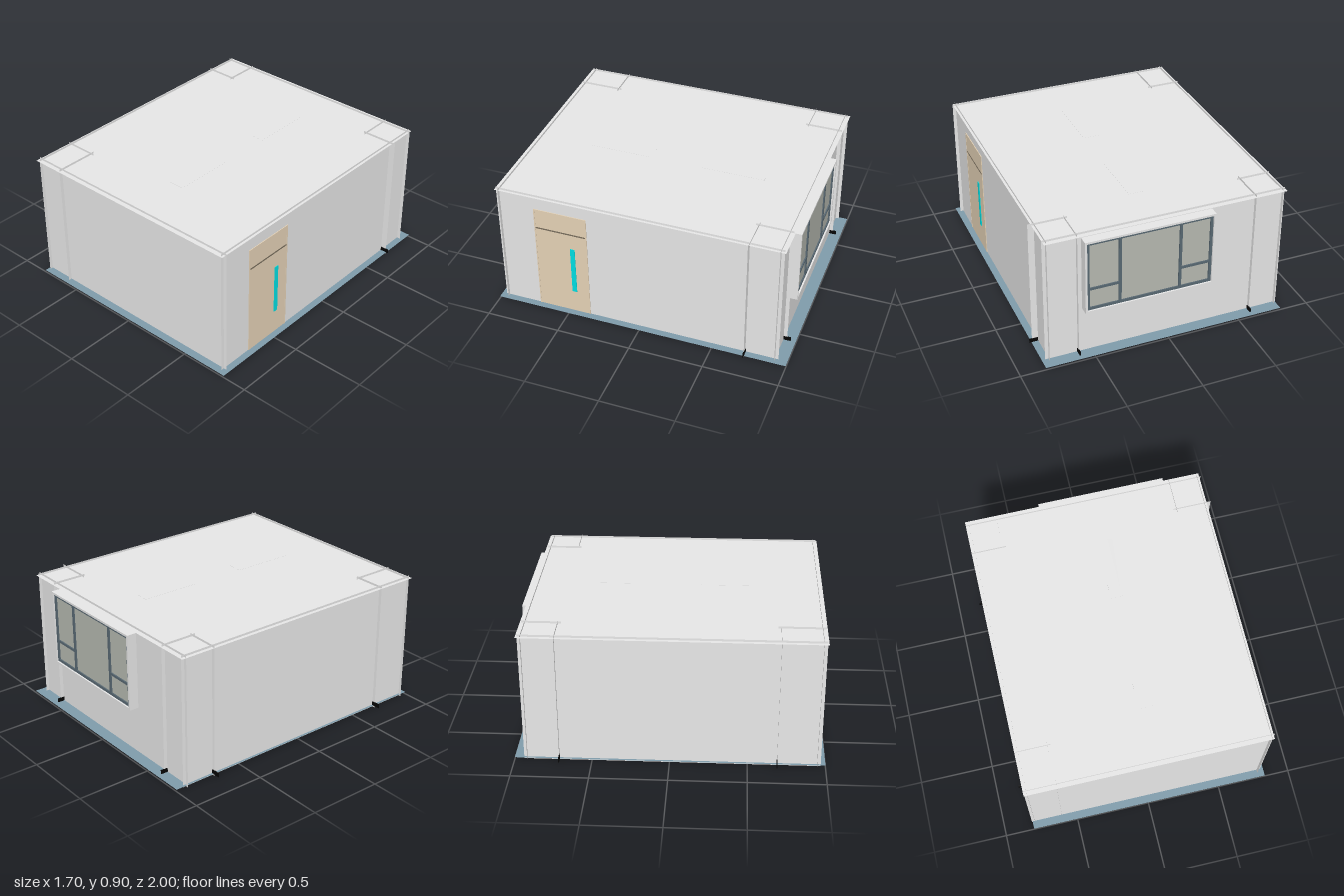
import * as THREE from 'three';

const mat = (name, color, side = THREE.FrontSide) => {
  const m = new THREE.MeshStandardMaterial({ color, side });
  m.name = name;
  return m;
};

export function createModel() {
  const M = {
    wall: mat('wall grey', 0xe7e7e7, THREE.DoubleSide),
    floor: mat('floor slate blue', 0x7f9cab, THREE.DoubleSide),
    ring: mat('floor inlay taupe', 0xb8b1aa, THREE.DoubleSide),
    door: mat('door tan', 0xe6d3b7),
    seam: mat('door seam brown', 0x7a6f5e),
    handle: mat('handle cyan', 0x00dfe3),
    black: mat('black', 0x050505),
    glass: mat('window glass', 0xb6b9b0),
    frame: mat('window frame slate', 0x586872),
  };
  const room = new THREE.Group();
  room.name = 'room';

  const group = (name) => {
    const g = new THREE.Group();
    g.name = name;
    room.add(g);
    return g;
  };
  const add = (name, geometry, material, parent) => {
    const mesh = new THREE.Mesh(geometry, material);
    mesh.name = name;
    parent.add(mesh);
    return mesh;
  };

  // Box given by its minimum and maximum on each axis
  const box = (name, material, x0, x1, y0, y1, z0, z1, parent = room) => {
    const mesh = add(name, new THREE.BoxGeometry(x1 - x0, y1 - y0, z1 - z0), material, parent);
    mesh.position.set((x0 + x1) / 2, (y0 + y1) / 2, (z0 + z1) / 2);
  };
  // Thin sheets: horizontal, facing z, facing x
  const sheetY = (name, material, x0, x1, z0, z1, y, parent = room) => {
    const geometry = new THREE.PlaneGeometry(x1 - x0, z1 - z0).rotateX(-Math.PI / 2);
    add(name, geometry, material, parent).position.set((x0 + x1) / 2, y, (z0 + z1) / 2);
  };
  const H = 0.9;
  const sheetZ = (name, x0, x1, z, parent = room) => {
    add(name, new THREE.PlaneGeometry(x1 - x0, H), M.wall, parent).position.set((x0 + x1) / 2, H / 2, z);
  };
  const sheetX = (name, z0, z1, x, parent = room) => {
    const geometry = new THREE.PlaneGeometry(z1 - z0, H).rotateY(Math.PI / 2);
    add(name, geometry, M.wall, parent).position.set(x, H / 2, (z0 + z1) / 2);
  };

  // Floor and roof; the walls run slightly past both
  const floorY = 0.014;
  const roofY = 0.886;
  sheetY('floor', M.floor, -0.805, 0.833, -1, 1, floorY);
  sheetY('roof', M.wall, -0.813, 0.803, -0.95, 0.977, roofY);

  // Walls cross each other at the corners
  sheetZ('frontWall', -0.81, 0.81, 0.947);
  sheetZ('backWall', -0.81, 0.81, -0.918);
  sheetX('doorWall', -0.94, 0.97, 0.787);
  sheetX('plainSideWall', -0.94, 0.97, -0.79);

  // Corner columns, each made of two sheets that poke through the walls
  const columns = group('columns');
  sheetX('columnSide', -0.942, -0.69, -0.6, columns);
  sheetZ('columnSide', -0.812, -0.58, -0.71, columns);
  sheetX('columnSide', -0.942, -0.7, 0.593, columns);
  sheetZ('columnSide', 0.573, 0.828, -0.72, columns);
  sheetX('columnSide', 0.67, 0.97, -0.6, columns);
  sheetZ('columnSide', -0.812, -0.58, 0.69, columns);

  // Ceiling lamps, three strips each, just reaching the roof
  const lamps = group('ceilingLamps');
  [0.378, -0.4].forEach((z) => [-0.036, 0, 0.036].forEach((dx) => {
    const x = 0.07 + dx;
    box('lampStrip', M.wall, x - 0.018, x + 0.018, 0.86, roofY + 0.001, z - 0.21, z + 0.21, lamps);
  }));

  // Square ring inlay under the floor
  const corners = (x0, x1, z0, z1) =>
    [[x0, z0], [x1, z0], [x1, z1], [x0, z1]].map(([x, z]) => new THREE.Vector2(x, -z));
  const ringShape = new THREE.Shape(corners(-0.46, 0.44, -0.6, 0.57));
  ringShape.holes.push(new THREE.Path(corners(-0.245, 0.21, -0.26, 0.27)));
  const ring = add('floorInlay', new THREE.ShapeGeometry(ringShape).rotateX(-Math.PI / 2), M.ring, room);
  ring.position.y = floorY - 0.002;

  // Pale panels beside the front edge of the underside
  sheetY('floorPanel', M.wall, -0.53, -0.152, 0.76, 0.945, floorY - 0.002);
  sheetY('floorPanel', M.wall, -0.148, 0.24, 0.76, 0.945, floorY - 0.002);

  // Door with frame, transom panel, seam, threshold and long handle
  const door = group('door');
  box('doorPanel', M.door, 0.782, 0.79, 0.01, 0.64, 0.362, 0.708, door);
  box('transomPanel', M.door, 0.782, 0.79, 0.65, 0.782, 0.362, 0.708, door);
  box('doorSeam', M.seam, 0.782, 0.791, 0.64, 0.65, 0.362, 0.708, door);
  box('doorJamb', M.door, 0.782, 0.792, 0.01, 0.79, 0.354, 0.362, door);
  box('doorJamb', M.door, 0.782, 0.792, 0.01, 0.79, 0.708, 0.716, door);
  box('doorHead', M.door, 0.782, 0.792, 0.782, 0.79, 0.362, 0.708, door);
  box('threshold', M.black, 0.782, 0.793, 0.007, 0.013, 0.354, 0.716, door);
  box('doorHandle', M.handle, 0.785, 0.794, 0.18, 0.53, 0.442, 0.474, door);

  // Window: projecting surround, slate frame and mullions, glass
  const win = group('window');
  const [x0, x1, y0, y1] = [-0.305, 0.56, 0.34, 0.86];
  const t = 0.014;
  box('windowSill', M.wall, x0, x1, y0, y0 + t, -0.983, -0.918, win);
  box('windowHead', M.wall, x0, x1, y1 - t, y1, -0.983, -0.918, win);
  box('windowSide', M.wall, x0, x0 + t, y0 + t, y1 - t, -0.983, -0.918, win);
  box('windowSide', M.wall, x1 - t, x1, y0 + t, y1 - t, -0.983, -0.918, win);
  box('windowGlass', M.glass, x0 + t, x1 - t, y0 + t, y1 - t, -0.963, -0.955, win);
  const bar = (a, b, c, d) => box('windowBar', M.frame, a, b, c, d, -0.972, -0.96, win);
  const w = 0.018;
  const [left, right, low, high] = [x0 + t, x1 - t, y0 + t, y1 - t];
  bar(left, right, low, low + w);
  bar(left, right, high - w, high);
  [left, -0.085, 0.318, right - w].forEach((x) => bar(x, x + w, low + w, high - w));
  bar(left + w, -0.085, 0.5, 0.516);
  bar(0.318 + w, right - w, 0.5, 0.516);

  // Small black skirting ends that poke out at the foot of the walls
  const stubs = group('skirtingEnds');
  [-0.71, 0.69].forEach((z) => box('skirtingEnd', M.black, -0.85, -0.785, 0.012, 0.04, z - 0.003, z + 0.003, stubs));
  box('skirtingEnd', M.black, 0.78, 0.845, 0.012, 0.04, -0.723, -0.717, stubs);
  [-0.6, 0.593].forEach((x) => box('skirtingEnd', M.black, x - 0.004, x + 0.004, 0.012, 0.04, -0.966, -0.91, stubs));

  return room;
}
